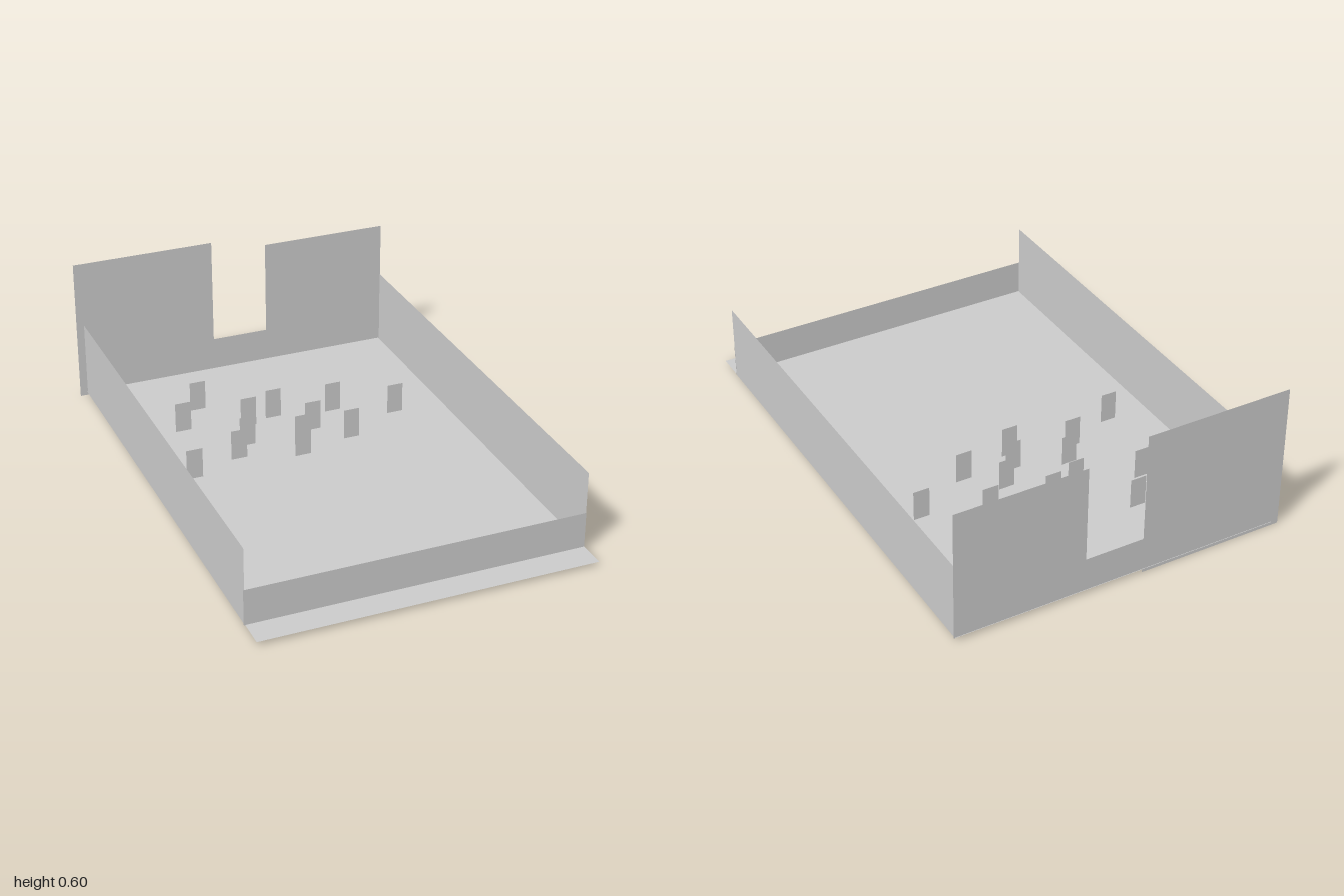
import * as THREE from 'three';

export function createModel() {
  const model = new THREE.Group();
  const material = new THREE.MeshStandardMaterial({ color: 0xcccccc, side: THREE.DoubleSide });

  // Thin upright panel facing z, given by its left, right, bottom and top edges
  function panel(name, x0, x1, y0, y1, z, parent = model) {
    const mesh = new THREE.Mesh(new THREE.PlaneGeometry(x1 - x0, y1 - y0), material);
    mesh.position.set((x0 + x1) / 2, (y0 + y1) / 2, z);
    mesh.name = name;
    parent.add(mesh);
    return mesh;
  }

  // Floor
  const floor = new THREE.Mesh(new THREE.PlaneGeometry(1.34, 2), material);
  floor.rotation.x = -Math.PI / 2;
  floor.position.set(0.01, 0.015, 0);
  floor.name = 'floor';
  model.add(floor);

  // Side walls, stopping short of the front edge
  for (const [name, x] of [['rightWall', -0.66], ['leftWall', 0.68]]) {
    const wall = new THREE.Mesh(new THREE.PlaneGeometry(1.875, 0.315), material);
    wall.rotation.y = Math.PI / 2;
    wall.position.set(x, 0.17, -0.053);
    wall.name = name;
    model.add(wall);
  }

  // Low front wall
  panel('frontWall', -0.665, 0.68, 0.013, 0.16, 0.887);

  // Back wall: two tall panels joined by a low sill
  panel('backWallRight', -0.69, -0.09, 0, 0.602, -0.998);
  panel('backWallSill', -0.09, 0.15, 0.013, 0.153, -0.998);
  panel('backWallLeft', 0.15, 0.685, 0.013, 0.552, -0.998);

  // Small upright cards scattered on the floor: left edge x, depth z
  const cards = new THREE.Group();
  cards.name = 'cards';
  model.add(cards);
  [
    [-0.515, -0.14], [-0.43, -0.52], [-0.315, -0.67], [-0.3, -0.22], [-0.23, -0.31],
    [-0.17, -0.46], [-0.05, -0.49], [0.06, -0.33], [-0.055, -0.15], [-0.02, -0.24],
    [0.18, -0.21], [0.197, -0.45], [0.43, -0.34],
  ].forEach(([x, z]) => panel('card', x, x + 0.067, 0.01, 0.142, z, cards));

  return model;
}
